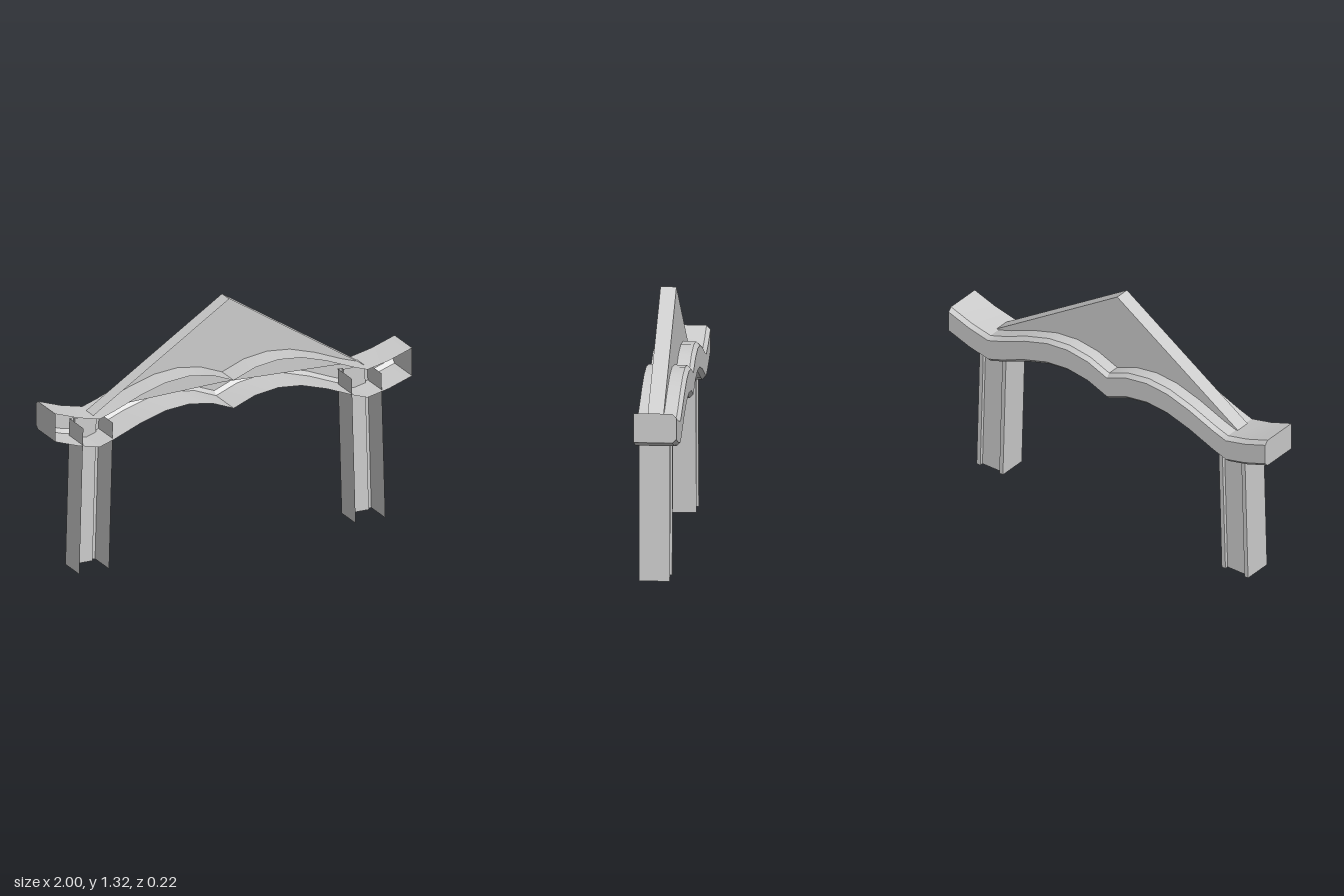
import * as THREE from 'three';
import { toCreasedNormals } from 'three/addons/utils/BufferGeometryUtils.js';

const material = new THREE.MeshStandardMaterial({ color: 0xcccccc, side: THREE.DoubleSide });

// Skin a sheet across rows of [x, y, z] points
function loft(name, rows) {
  const pos = [];
  for (let i = 0; i < rows.length - 1; i++) {
    for (let j = 0; j < rows[i].length - 1; j++) {
      const a = rows[i][j], b = rows[i][j + 1];
      const d = rows[i + 1][j], c = rows[i + 1][j + 1];
      pos.push(...a, ...d, ...c, ...a, ...c, ...b);
    }
  }
  const geo = new THREE.BufferGeometry();
  geo.setAttribute('position', new THREE.Float32BufferAttribute(pos, 3));
  const mesh = new THREE.Mesh(toCreasedNormals(geo, Math.PI / 6), material);
  mesh.name = name;
  return mesh;
}

// Wavy beam: chamfered channel, open at the front
function createBeam() {
  const beam = new THREE.Group();
  beam.name = 'beam';
  const half = [[0, 0.745], [0.12, 0.793], [0.25, 0.812], [0.38, 0.8], [0.52, 0.758],
    [0.67, 0.697], [0.75, 0.67], [0.87, 0.697], [1, 0.742]]; // underside curve
  const curve = [...half.slice(1).reverse().map(([x, y]) => [-x, y]), ...half];
  const section = [[0.11, 0.15], [-0.085, 0.15], [-0.105, 0.13],
    [-0.105, 0.02], [-0.085, 0], [0.11, 0]]; // z, height
  const rows = curve.map(([x, y]) => section.map(([z, h]) => [x, y + h, z]));
  beam.add(loft('beamShell', rows));

  // End caps
  const cap = (r) => [[r[0], r[1], r[2]], [r[5], r[4], r[3]]];
  beam.add(loft('beamEndLeft', cap(rows[rows.length - 1])));
  beam.add(loft('beamEndRight', cap(rows[0]).reverse()));
  return beam;
}

// Triangular gable: two slopes and a back wall
function createGable() {
  const stations = [[-0.765, 0.82, 0.815], [0, 1.315, 0.84], [0.765, 0.82, 0.815]];
  return loft('gable', stations.map(([x, top, bottom]) =>
    [[x, top, 0.06], [x, top, -0.02], [x, bottom, -0.02]]));
}

// Leaning leg: channel with a recessed panel between two back strips
function createLeg(side) {
  const w = 0.083, s = 0.06, back = -0.06, recess = -0.042;
  const section = [[-w, 0.095], [-w, back], [-s, back], [-s, recess],
    [s, recess], [s, back], [w, back], [w, 0.095]];
  const levels = [[0.774, 0], [0.752, 0.78]];
  return loft(side > 0 ? 'leftLeg' : 'rightLeg', levels.map(([cx, y]) =>
    section.map(([x, z]) => [side * cx + x, y, z])));
}

export function createModel() {
  const model = new THREE.Group();
  model.name = 'gabledArchway';
  model.add(createBeam(), createGable(), createLeg(1), createLeg(-1));
  return model;
}
